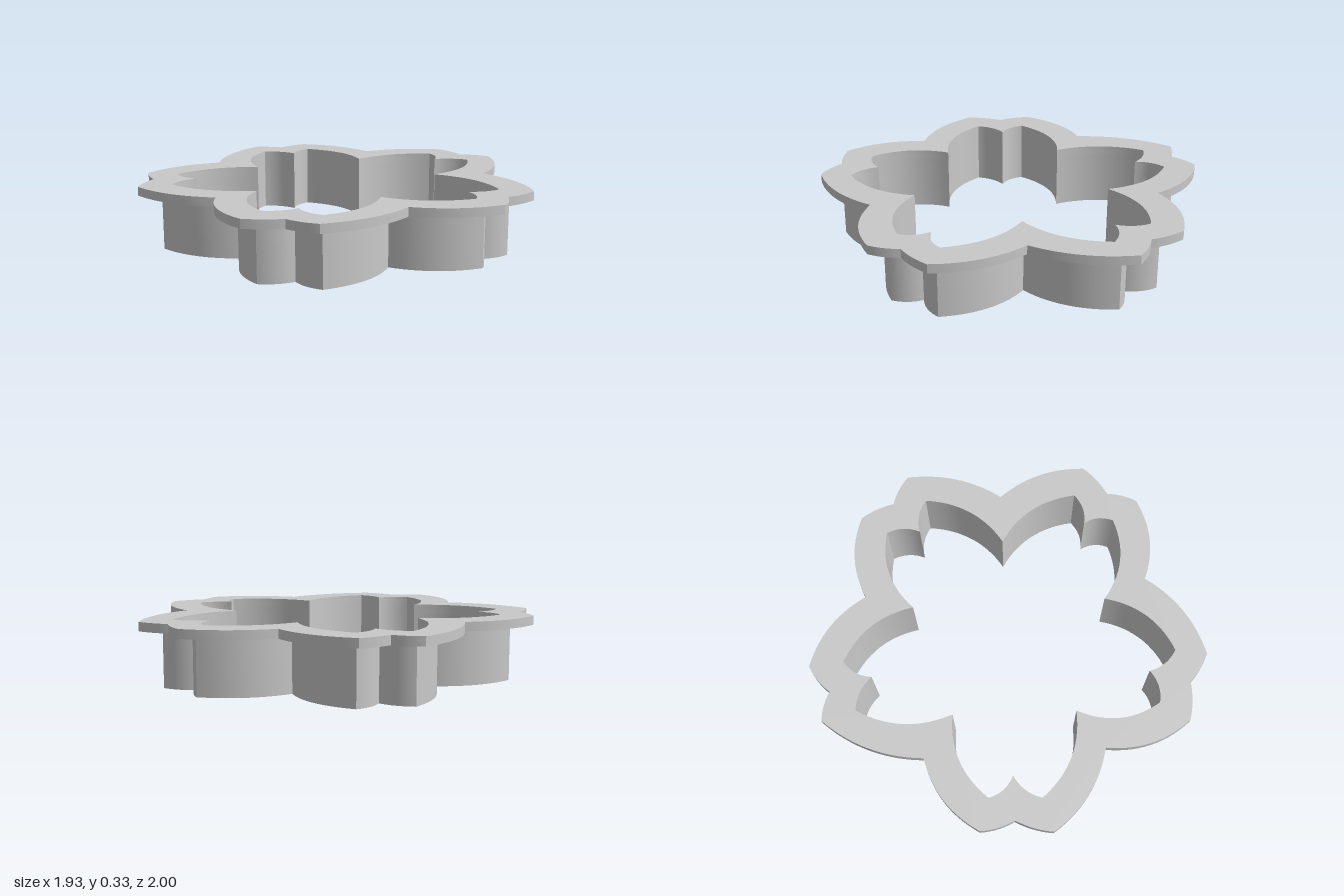
import * as THREE from 'three';
import { toCreasedNormals } from 'three/addons/utils/BufferGeometryUtils.js';

// Each petal: valley, first tip, notch, second tip.
// Every corner is [inner x, inner z, rim x, rim z].
const PETALS = [
  [[0.37, -0.297, 0.585, -0.443], [0.80, -0.115, 0.965, -0.155], [0.687, 0.013, 0.90, 0.03], [0.78, 0.135, 0.945, 0.183]],
  [[0.37, 0.32, 0.577, 0.442], [0.317, 0.762, 0.384, 0.907], [0.152, 0.706, 0.21, 0.907], [0.036, 0.83, 0.036, 1.0]],
  [[-0.218, 0.50, -0.304, 0.717], [-0.675, 0.582, -0.785, 0.712], [-0.658, 0.405, -0.838, 0.526], [-0.812, 0.362, -0.968, 0.412]],
  [[-0.556, -0.008, -0.815, -0.008], [-0.791, -0.426, -0.923, -0.537], [-0.606, -0.457, -0.78, -0.59], [-0.616, -0.622, -0.727, -0.754]],
  [[-0.187, -0.488, -0.267, -0.727], [0.092, -0.838, 0.092, -1.0], [0.188, -0.696, 0.25, -0.905], [0.357, -0.77, 0.422, -0.929]],
];
const CORNERS = PETALS.flat();

// Closed flower outline; t = 0 is the inner edge, t = 1 the edge of the rim.
function traceOutline(path, t) {
  const mix = (a, b) => a + (b - a) * t;
  const pts = CORNERS.map(([ix, iz, ox, oz]) => [mix(ix, ox), mix(iz, oz)]);
  path.moveTo(...pts[0]);
  pts.forEach(([x, z], i) => {
    const [x2, z2] = pts[(i + 1) % pts.length];
    const petalSide = i % 4 === 0 || i % 4 === 3;
    const bulge = petalSide ? mix(0.059, 0.048) : mix(0.02, 0.01);
    const dx = x2 - x, dz = z2 - z, len = Math.hypot(dx, dz);
    // Control point pushed outward from the middle of the chord
    const cx = (x + x2) / 2 + (2 * bulge * dz) / len;
    const cz = (z + z2) / 2 - (2 * bulge * dx) / len;
    path.quadraticCurveTo(cx, cz, x2, z2);
  });
  return path;
}

// Upright band between the inner edge and the outline at t
function band(name, t, y0, y1, material) {
  const shape = traceOutline(new THREE.Shape(), t);
  shape.holes.push(traceOutline(new THREE.Path(), 0));
  const geo = new THREE.ExtrudeGeometry(shape, { depth: y1 - y0, bevelEnabled: false, curveSegments: 14 });
  geo.rotateX(Math.PI / 2); // outline y becomes z, depth runs down from y1
  geo.translate(0, y1, 0);
  const mesh = new THREE.Mesh(toCreasedNormals(geo, 0.35), material);
  mesh.name = name;
  return mesh;
}

export function createModel() {
  const group = new THREE.Group();
  group.name = 'flowerCutter';
  const grey = new THREE.MeshStandardMaterial({ color: 0xc9c9c9 });
  grey.name = 'grey';
  group.add(band('cutterWall', 0.3, 0, 0.285, grey)); // thin cutting wall
  group.add(band('topRim', 1, 0.285, 0.33, grey)); // wide flat rim
  return group;
}
